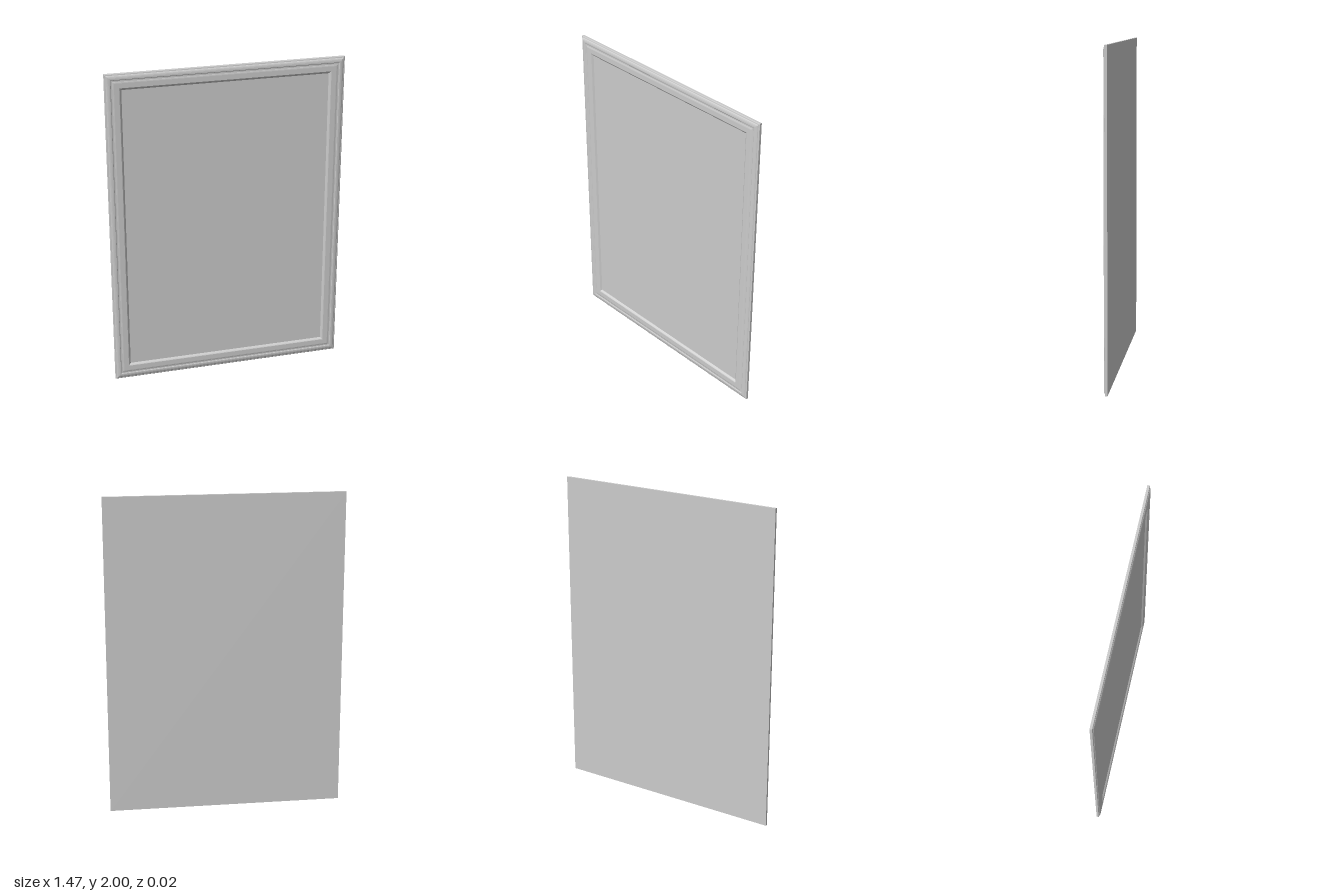
import * as THREE from 'three';

const HALF_W = 0.735, HALF_H = 1;

// Moulding cross-section: [inset from the outer edge, z], from the back edge round to the panel
const PROFILE = [
  [0, -0.012], [0, 0.002], [0.003, 0.004], [0.009, 0.005], [0.012, 0.008],
  [0.018, 0.0105], [0.026, 0.012], [0.034, 0.012], [0.038, 0.0095],
  [0.046, 0.0095], [0.05, 0.011], [0.056, 0.012], [0.086, 0.012],
  [0.09, 0.01], [0.1, 0.001],
];

// Four mitred corners of the rectangle at a given inset, anticlockwise from the front
function corners([inset, z]) {
  const x = HALF_W - inset, y = HALF_H - inset;
  return [[-x, -y, z], [x, -y, z], [x, y, z], [-x, y, z]];
}

// Sweeps the cross-section round the rectangle
function mouldingGeometry() {
  const pos = [];
  for (let i = 0; i < PROFILE.length - 1; i++) {
    const outer = corners(PROFILE[i]), inner = corners(PROFILE[i + 1]);
    for (let k = 0; k < 4; k++) {
      const n = (k + 1) % 4;
      pos.push(...outer[k], ...outer[n], ...inner[n], ...outer[k], ...inner[n], ...inner[k]);
    }
  }
  const geometry = new THREE.BufferGeometry();
  geometry.setAttribute('position', new THREE.Float32BufferAttribute(pos, 3));
  geometry.computeVertexNormals();
  return geometry;
}

export function createModel() {
  const group = new THREE.Group();
  group.name = 'framedPanel';
  const material = new THREE.MeshStandardMaterial({ color: 0xcccccc, flatShading: true });

  const add = (name, geometry, z) => {
    const mesh = new THREE.Mesh(geometry, material);
    mesh.name = name;
    mesh.position.set(0, HALF_H, z);
    group.add(mesh);
    return mesh;
  };

  // Stepped frame around the edge
  add('frameMoulding', mouldingGeometry(), 0);

  // Recessed flat panel inside the frame
  const [inset, depth] = PROFILE[PROFILE.length - 1];
  add('centrePanel', new THREE.PlaneGeometry(2 * (HALF_W - inset), 2 * (HALF_H - inset)), depth);

  // Plain back
  add('backPanel', new THREE.PlaneGeometry(2 * HALF_W, 2 * HALF_H), PROFILE[0][1]).rotation.y = Math.PI;

  return group;
}
